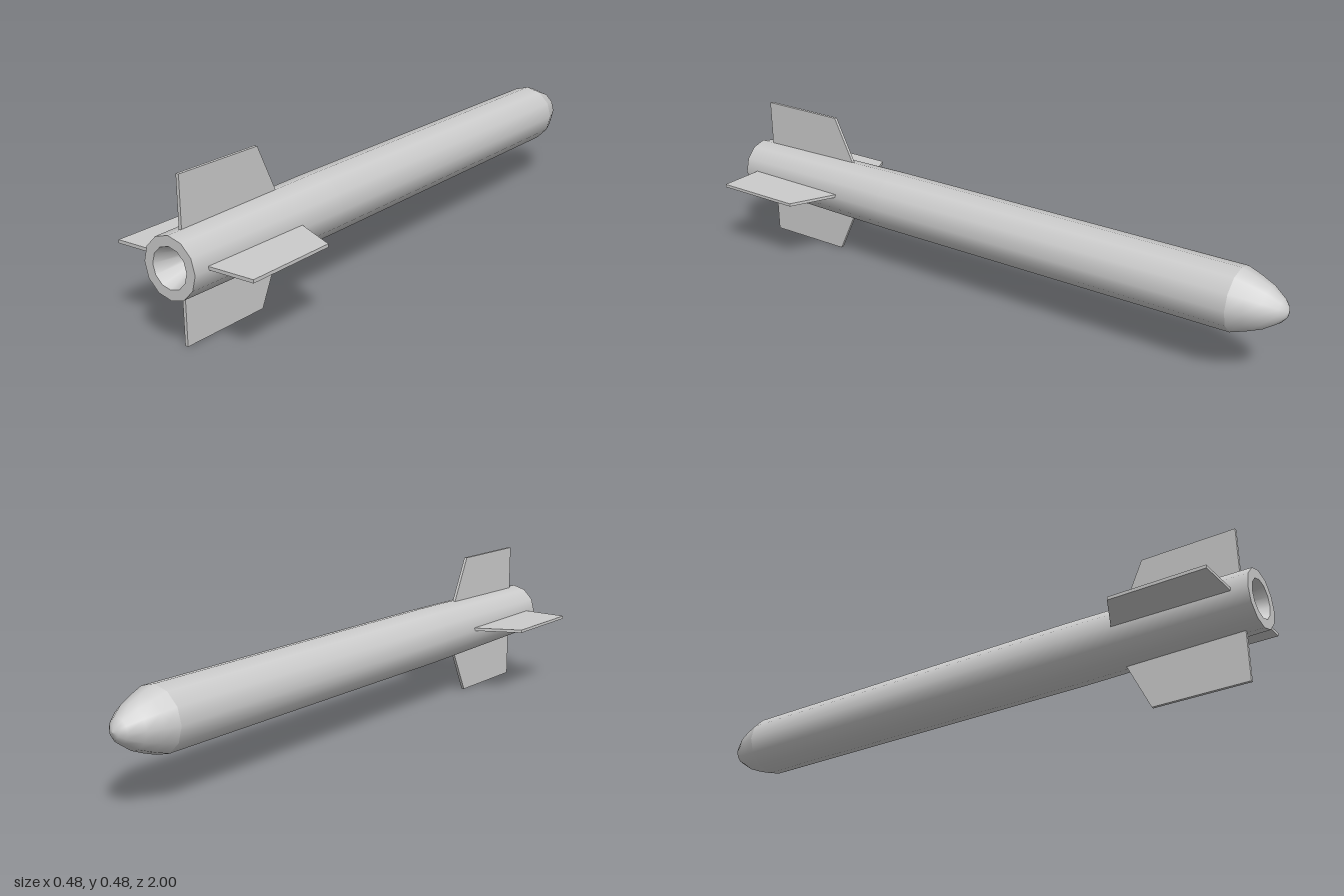
import * as THREE from 'three';

const AXIS_Y = 0.24;
const SIDES = 12;

export function createModel() {
  const model = new THREE.Group();
  model.name = 'rocket';
  const material = new THREE.MeshStandardMaterial({ color: 0xcccccc });

  const add = (name, geometry) => {
    const mesh = new THREE.Mesh(geometry, material);
    mesh.name = name;
    mesh.position.y = AXIS_Y;
    model.add(mesh);
    return mesh;
  };

  // Turned part about the z axis; profile is [radius, z] pairs, nose to tail
  const turned = (name, profile) => {
    const points = profile.map(([r, z]) => new THREE.Vector2(r, z));
    add(name, new THREE.LatheGeometry(points, SIDES).rotateX(Math.PI / 2));
  };

  // Separate turned parts keep the edges between them sharp
  turned('noseCone', [[0, -1], [0.018, -0.995], [0.036, -0.98], [0.064, -0.94], [0.083, -0.895], [0.0985, -0.85]]);
  turned('bodyTube', [[0.0985, -0.85], [0.0985, 0.4]]);
  turned('tailTaper', [[0.0985, 0.4], [0.09, 1]]);
  turned('nozzleRim', [[0.09, 1], [0.06, 1]]);
  turned('nozzleWall', [[0.06, 1], [0.025, 0.9]]);
  turned('nozzleFloor', [[0.025, 0.9], [0, 0.9]]);

  // Fin outline: x is the distance from the axis, y is z along the body
  const finShape = (side) => {
    const corners = [[0.085, 0.575], [0.24, 0.65], [0.24, 0.95], [0.085, 0.95]];
    return new THREE.Shape(corners.map(([r, z]) => new THREE.Vector2(side * r, z)));
  };
  const finGeometry = (side) =>
    new THREE.ExtrudeGeometry(finShape(side), { depth: 0.01, bevelEnabled: false })
      .rotateX(Math.PI / 2)
      .translate(0, 0.01, 0); // the plate lies from y = 0 to y = 0.01

  // Two flat fins and the same pair turned upright
  for (const side of [1, -1]) {
    add(side > 0 ? 'leftFin' : 'rightFin', finGeometry(side));
    add(side > 0 ? 'topFin' : 'bottomFin', finGeometry(side).rotateZ(Math.PI / 2));
  }
  return model;
}
